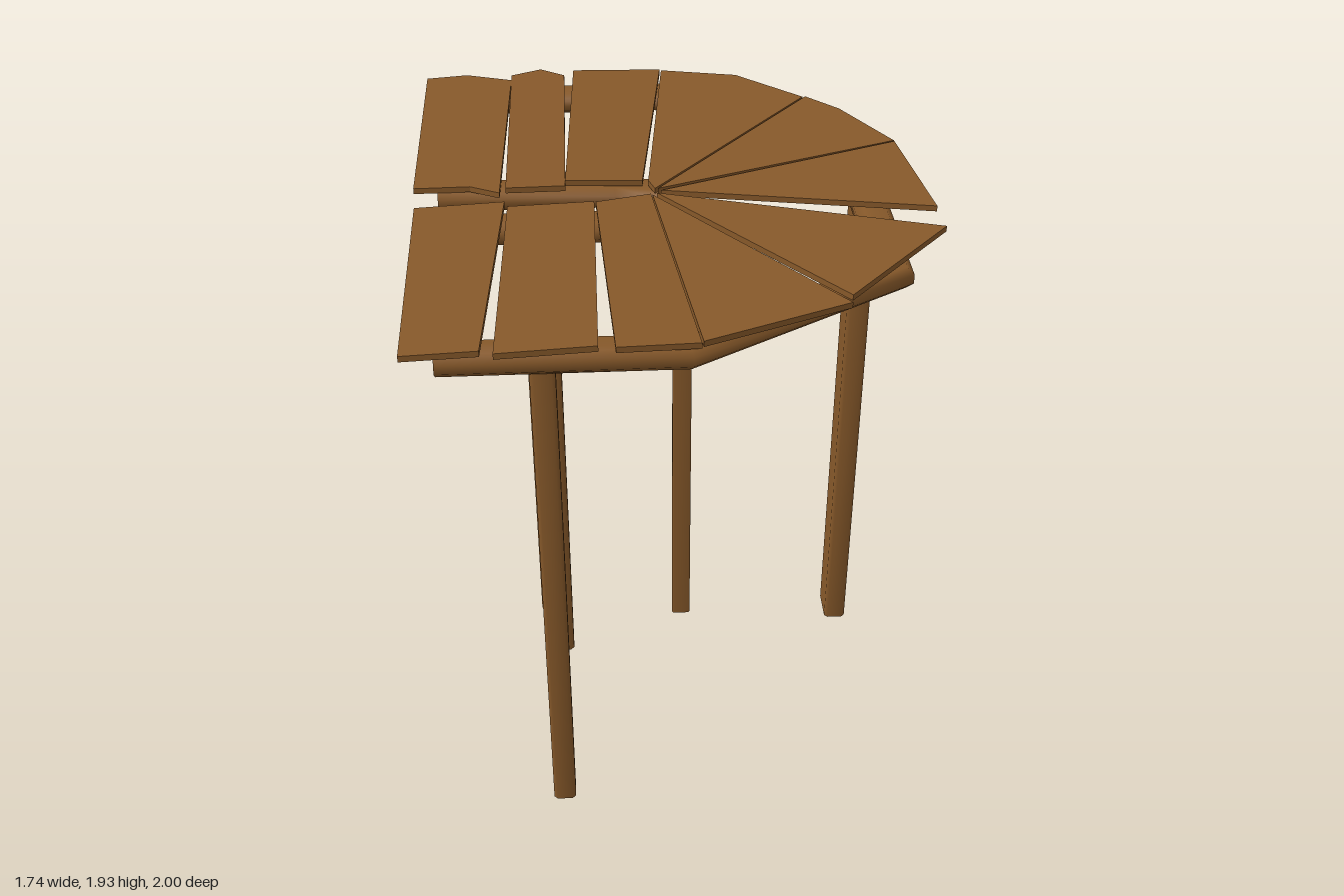
import * as THREE from 'three';

const wood = new THREE.MeshStandardMaterial({ color: 0x87592a });
wood.name = 'brown wood';
const UP = new THREE.Vector3(0, 1, 0);

// Eight-sided rectangle with cut corners, counter-clockwise
function section(w, h, cut) {
  const a = w / 2, b = h / 2, c = Math.min(cut, a * 0.6, b * 0.6);
  return [[a, c - b], [a, b - c], [a - c, b], [c - a, b], [-a, b - c], [-a, c - b], [c - a, -b], [a - c, -b]];
}

// Skin a row of equal rings, with separate end caps
function loft(rings) {
  const n = rings[0].length, pos = [], idx = [];
  const add = (ring) => ring.forEach((p) => pos.push(p.x, p.y, p.z));
  rings.forEach(add);
  for (let k = 0; k < rings.length - 1; k++) {
    for (let i = 0; i < n; i++) {
      const a = k * n + i, b = k * n + (i + 1) % n;
      idx.push(a, b, b + n, a, b + n, a + n);
    }
  }
  const start = pos.length / 3;
  add(rings[0]);
  add(rings[rings.length - 1]);
  for (let i = 1; i < n - 1; i++) {
    idx.push(start, start + i + 1, start + i);
    idx.push(start + n, start + n + i, start + n + i + 1);
  }
  const geo = new THREE.BufferGeometry();
  geo.setAttribute('position', new THREE.Float32BufferAttribute(pos, 3));
  geo.setIndex(idx);
  geo.computeVertexNormals();
  return geo;
}

// Upright post
function postGeometry(x, z, w, d, h) {
  const profile = section(d, w, 0.012);
  return loft([0, h].map((y) => profile.map(([u, v]) => new THREE.Vector3(x + v, y, z + u))));
}

// Level beam with mitred corners along [x, z] points
function beamGeometry(points, y, w, h) {
  const path = points.map(([x, z]) => new THREE.Vector3(x, y, z));
  const profile = section(w, h, 0.022);
  const dir = (i) => path[i + 1].clone().sub(path[i]).normalize();
  return loft(path.map((p, i) => {
    const before = dir(Math.max(i - 1, 0)), after = dir(Math.min(i, path.length - 2));
    const t = before.clone().add(after).normalize();
    const side = UP.clone().cross(t).divideScalar(t.dot(after));
    return profile.map(([u, v]) => p.clone().addScaledVector(side, u).addScaledVector(UP, v));
  }));
}

// Thin board cut to an [x, z] outline, tilted along x
function plankGeometry(outline, y, slope) {
  const shape = new THREE.Shape(outline.map(([x, z]) => new THREE.Vector2(x, -z)));
  const geo = new THREE.ExtrudeGeometry(shape, { depth: 0.02, bevelEnabled: false });
  geo.rotateX(-Math.PI / 2);
  const p = geo.attributes.position;
  for (let i = 0; i < p.count; i++) p.setY(i, p.getY(i) + y + slope * p.getX(i));
  geo.computeVertexNormals();
  return geo;
}

export function createModel() {
  const model = new THREE.Group();
  model.name = 'plankPlatform';
  const add = (name, geo) => {
    const mesh = new THREE.Mesh(geo, wood);
    mesh.name = name;
    model.add(mesh);
  };

  // Legs: x, z, width, depth
  const legs = {
    frontOuterLeg: [-0.425, 0.905, 0.077, 0.07],
    frontInnerLeg: [-0.425, 0.145, 0.077, 0.07],
    backInnerLeg: [-0.475, -0.095, 0.077, 0.07],
    backOuterLeg: [-0.475, -0.865, 0.077, 0.07],
    centreLeg: [0.045, -0.02, 0.07, 0.022],
    sideLeg: [0.66, -0.02, 0.08, 0.14],
  };
  for (const [name, [x, z, w, d]] of Object.entries(legs)) add(name, postGeometry(x, z, w, d, 1.83));

  // Supporting beams
  add('outerBeam', beamGeometry(
    [[-0.735, 0.905], [0, 0.905], [0.675, 0.5], [0.665, -0.5], [0, -0.865], [-0.78, -0.865]], 1.857, 0.12, 0.075));
  add('innerBeam', beamGeometry(
    [[-0.735, 0.14], [-0.22, 0.14], [0.035, 0.05], [0.035, -0.06], [-0.18, -0.1], [-0.78, -0.1]], 1.857, 0.12, 0.075));

  // Deck planks: outline, height, slope
  const planks = [
    [[[-0.87, -0.96], [-0.72, -0.975], [-0.55, -0.91], [-0.57, 0], [-0.67, -0.055], [-0.86, -0.06]], 1.912, 0.025],
    [[[-0.55, -0.95], [-0.44, -1], [-0.35, -0.94], [-0.35, -0.035], [-0.55, -0.03]], 1.9, 0],
    [[[-0.315, -0.97], [0.015, -0.975], [-0.09, -0.055], [-0.35, -0.06]], 1.9, -0.02],
    [[[0.02, -0.965], [0.3, -0.9], [0.53, -0.685], [-0.05, 0], [-0.07, -0.06]], 1.9, 0.01],
    [[[0.54, -0.685], [0.65, -0.57], [0.805, -0.295], [-0.04, 0]], 1.9, 0.012],
    [[[0.805, -0.285], [0.865, 0.2], [-0.03, 0.008]], 1.897, 0.018],
    [[[0.87, 0.335], [0.51, 0.73], [-0.045, 0.025]], 1.897, 0.018],
    [[[0.505, 0.765], [0.045, 0.945], [-0.06, 0.035]], 1.896, 0.012],
    [[[0.04, 0.95], [-0.21, 0.975], [-0.25, 0.095], [-0.065, 0.035]], 1.896, -0.04],
    [[[-0.26, 0.97], [-0.56, 0.995], [-0.54, 0.115], [-0.255, 0.095]], 1.908, 0],
    [[[-0.6, 0.98], [-0.83, 0.99], [-0.845, 0.105], [-0.55, 0.085]], 1.918, 0.015],
  ];
  planks.forEach(([outline, y, slope], i) => add(`deckPlank${i + 1}`, plankGeometry(outline, y, slope)));

  return model;
}
